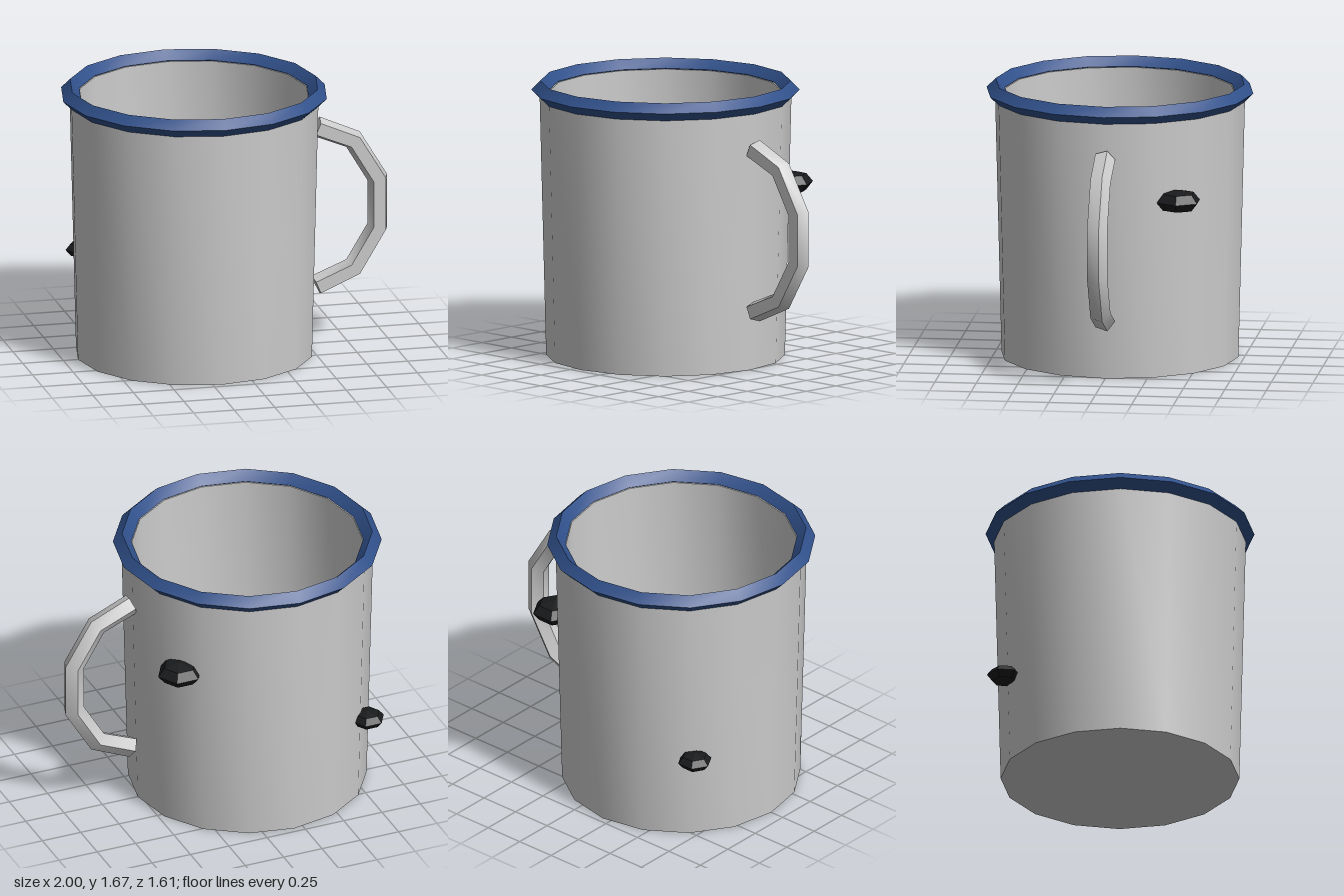
import * as THREE from 'three';
import { toCreasedNormals } from 'three/addons/utils/BufferGeometryUtils.js';

const AXIS_X = -0.195; // centre line of the cup
const CREASE = 0.9;

// Sweeps a regular pentagon along a path lying in the xy plane, with closed ends.
function sweepHandle(path, radius, sides) {
  const positions = [], index = [];
  path.forEach(([x, y], i) => {
    const [ax, ay] = path[Math.max(i - 1, 0)];
    const [bx, by] = path[Math.min(i + 1, path.length - 1)];
    const length = Math.hypot(bx - ax, by - ay);
    const nx = -(by - ay) / length, ny = (bx - ax) / length; // points away from the grip
    for (let j = 0; j < sides; j++) {
      const a = -Math.PI / 10 + (j / sides) * Math.PI * 2;
      const out = radius * Math.cos(a);
      positions.push(x + nx * out, y + ny * out, radius * Math.sin(a));
    }
  });
  for (let i = 0; i < path.length - 1; i++) {
    for (let j = 0; j < sides; j++) {
      const k = (j + 1) % sides;
      const a = i * sides + j, b = i * sides + k;
      index.push(a, b, a + sides, b, b + sides, a + sides);
    }
  }
  const last = (path.length - 1) * sides;
  for (let j = 1; j < sides - 1; j++) {
    index.push(0, j + 1, j, last, last + j, last + j + 1);
  }
  const geometry = new THREE.BufferGeometry();
  geometry.setAttribute('position', new THREE.Float32BufferAttribute(positions, 3));
  geometry.setIndex(index);
  return toCreasedNormals(geometry, CREASE);
}

export function createModel() {
  const model = new THREE.Group();
  const enamel = new THREE.MeshStandardMaterial({ color: 0xcccccc, side: THREE.DoubleSide });
  const blue = new THREE.MeshStandardMaterial({ color: 0x30508a });
  const black = new THREE.MeshStandardMaterial({ color: 0x1a1b1d, flatShading: true });

  const add = (name, geometry, material, x = 0, y = 0, z = 0) => {
    const mesh = new THREE.Mesh(geometry, material);
    mesh.name = name;
    mesh.position.set(x, y, z);
    model.add(mesh);
    return mesh;
  };

  // Hollow, slightly flared cup with a floor
  const profile = [[0, 0], [0.715, 0], [0.755, 1.61], [0.692, 1.61], [0.662, 0.04], [0, 0.04]]
    .map(([r, y]) => new THREE.Vector2(r, y));
  add('cupBody', toCreasedNormals(new THREE.LatheGeometry(profile, 16), CREASE), enamel, AXIS_X);

  // Diamond-section rolled rim
  const rim = new THREE.TorusGeometry(0.75, 0.055, 4, 16).rotateX(Math.PI / 2);
  add('rim', toCreasedNormals(rim, CREASE), blue, AXIS_X, 1.615);

  // Handle: upper half of the path mirrored about its middle height
  const upper = [[0.56, 1.35], [0.79, 1.252], [0.939, 1.005]];
  const middle = 0.855;
  const lower = upper.map(([x, y]) => [x, 2 * middle - y]).reverse();
  add('handle', sweepHandle([...upper, ...lower], 0.065, 5), enamel);

  // Chips in the enamel
  const addChip = (name, radius, x, y, z) =>
    add(name, new THREE.SphereGeometry(radius, 6, 4).scale(1, 0.5, 1), black, x, y, z);
  addChip('largeChip', 0.14, 0.432, 1.078, -0.43);
  addChip('smallChip', 0.105, -0.755, 0.53, -0.52);

  return model;
}
